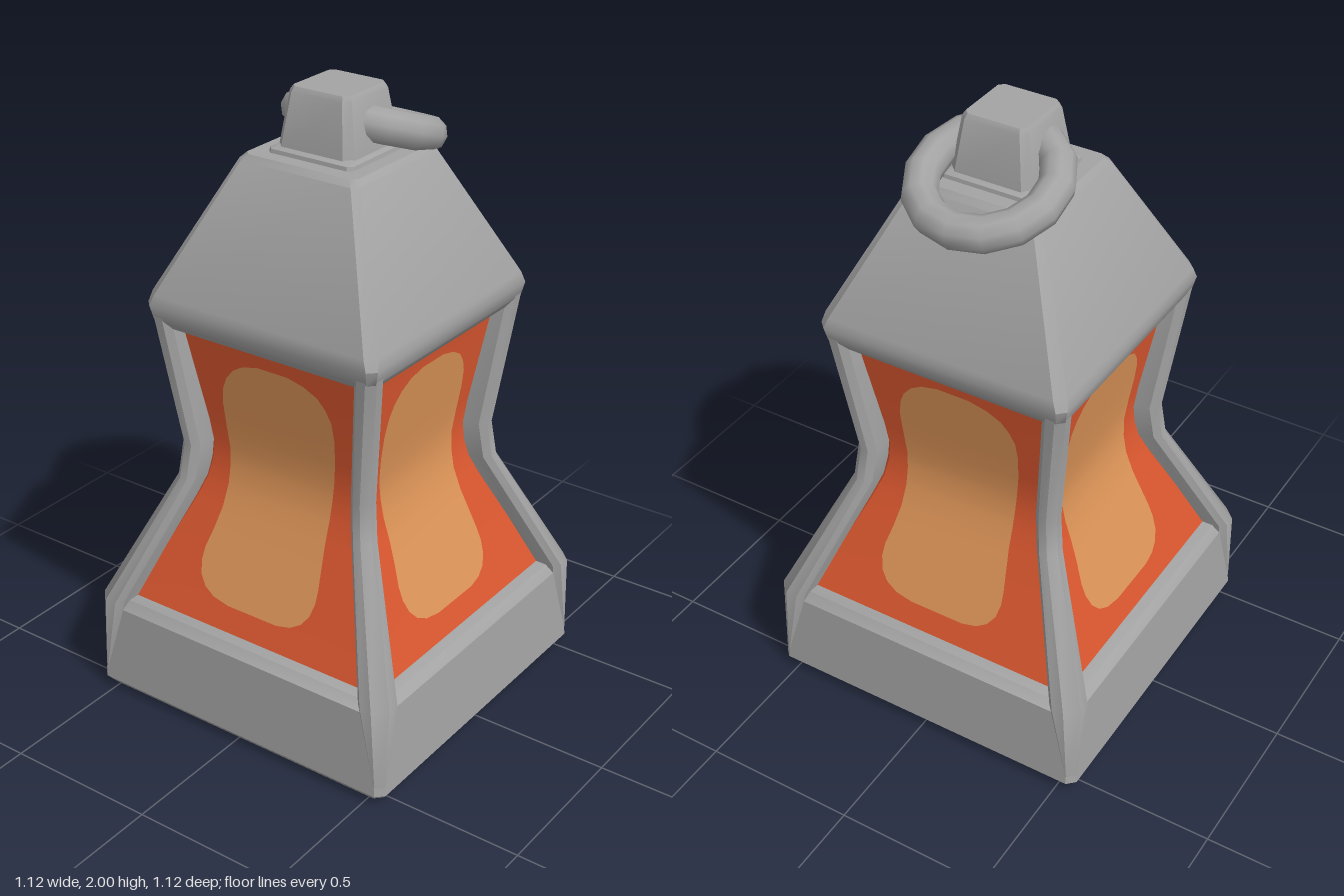
import * as THREE from 'three';
import { toCreasedNormals } from 'three/addons/utils/BufferGeometryUtils.js';

const metal = new THREE.MeshStandardMaterial({ color: 0xa3a3a3 });
metal.name = 'grey metal';
const glass = new THREE.MeshStandardMaterial({ color: 0xd9572f });
glass.name = 'orange glass';
const glow = new THREE.MeshStandardMaterial({ color: 0xdb9357 });
glow.name = 'amber glow';

// Skin a stack of closed rings [[x, z], ...] (anticlockwise from above) with caps.
function loft(rings, ys) {
  const pos = [], idx = [], n = rings[0].length;
  rings.forEach((ring, r) => ring.forEach(([x, z]) => pos.push(x, ys[r], z)));
  for (let r = 0; r < rings.length - 1; r++) {
    for (let i = 0; i < n; i++) {
      const a = r * n + i, b = r * n + (i + 1) % n;
      idx.push(a, b, b + n, a, b + n, a + n);
    }
  }
  const top = (rings.length - 1) * n;
  for (let i = 1; i < n - 1; i++) idx.push(0, i + 1, i, top, top + i, top + i + 1);
  const geo = new THREE.BufferGeometry();
  geo.setAttribute('position', new THREE.Float32BufferAttribute(pos, 3));
  geo.setIndex(idx);
  return toCreasedNormals(geo, 0.6);
}

// Square of half width a with corners cut by c.
const square = (a, c) => [
  [-a + c, a], [a - c, a], [a, a - c], [a, -a + c],
  [a - c, -a], [-a + c, -a], [-a, -a + c], [-a, a - c],
];

// Square block from rows of [y, half width, corner cut].
const block = (rows) => loft(rows.map(([, a, c]) => square(a, c)), rows.map((r) => r[0]));

// Corner post section: outer size a, corner cut c, face width w, bevelled inward.
const postSection = (a, c, w) => {
  const half = [[a, a - c], [a, a - w], [a - 0.02, a - w - 0.02], [a - 0.1, a - w - 0.03]];
  return [...half.map(([x, z]) => [z, x]).reverse(), ...half];
};

// Waisted glass profile: [y, half width].
const glassRows = [
  [0.32, 0.487], [0.68, 0.332], [0.75, 0.306], [0.81, 0.294],
  [0.87, 0.29], [0.95, 0.299], [1.28, 0.35],
];
function glassDepth(y) {
  const i = Math.max(1, glassRows.findIndex((r) => r[0] >= y));
  const [y0, z0] = glassRows[i - 1], [y1, z1] = glassRows[i];
  return z0 + (z1 - z0) * (y - y0) / (y1 - y0);
}

// Soft amber patch that follows the bend of one pane: rows of [y, left x, right x].
function glowPatch() {
  const rows = [
    [0.41, -0.1, 0.09], [0.42, -0.16, 0.14], [0.44, -0.2, 0.175], [0.47, -0.225, 0.198],
    [0.51, -0.236, 0.208], [0.55, -0.234, 0.207], [0.61, -0.218, 0.2], [0.68, -0.204, 0.192],
    [0.75, -0.2, 0.19], [0.81, -0.2, 0.192], [0.87, -0.202, 0.196], [0.95, -0.207, 0.206],
    [1.03, -0.208, 0.212], [1.09, -0.198, 0.208], [1.13, -0.18, 0.192], [1.165, -0.15, 0.165],
    [1.19, -0.11, 0.12], [1.205, -0.05, 0.06],
  ];
  const pos = [], idx = [];
  rows.forEach(([y, l, r], i) => {
    const z = glassDepth(y) + 0.005;
    pos.push(l, y, z, r, y, z);
    const k = i * 2;
    if (i) idx.push(k - 2, k - 1, k + 1, k - 2, k + 1, k);
  });
  const geo = new THREE.BufferGeometry();
  geo.setAttribute('position', new THREE.Float32BufferAttribute(pos, 3));
  geo.setIndex(idx);
  geo.computeVertexNormals();
  return geo;
}

export function createModel() {
  const model = new THREE.Group();
  model.name = 'lantern';
  const add = (name, geo, mat) => {
    const mesh = new THREE.Mesh(geo, mat);
    mesh.name = name;
    model.add(mesh);
    return mesh;
  };

  // Heavy foot with a bevelled sill
  add('base', block([
    [0, 0.535, 0.02], [0.03, 0.56, 0.025], [0.3, 0.54, 0.03],
    [0.328, 0.515, 0.03], [0.338, 0.45, 0.03],
  ]), metal);

  // Glass body
  add('glassBody', block(glassRows.map(([y, a]) => [y, a, 0.02])), glass);

  // Corner posts and glowing panes, one per side
  const posts = [
    [0.06, 0.558, 0.024, 0.026], [0.33, 0.56, 0.04, 0.08], [0.75, 0.372, 0.025, 0.052],
    [0.87, 0.358, 0.024, 0.05], [1.34, 0.416, 0.024, 0.055],
  ];
  const postGeo = loft(posts.map(([, a, c, w]) => postSection(a, c, w)), posts.map((p) => p[0]));
  const patchGeo = glowPatch();
  for (let i = 0; i < 4; i++) {
    add('cornerPost', postGeo, metal).rotation.y = i * Math.PI / 2;
    add('glowPatch', patchGeo, glow).rotation.y = i * Math.PI / 2;
  }

  // Roof with bevelled underside, collar and cap
  add('roof', block([
    [1.26, 0.33, 0.02], [1.272, 0.388, 0.02], [1.3, 0.41, 0.02], [1.345, 0.421, 0.025],
    [1.38, 0.413, 0.03], [1.785, 0.217, 0.02], [1.803, 0.2, 0.02],
  ]), metal);
  add('collar', block([[1.79, 0.155, 0.015], [1.815, 0.15, 0.015], [1.825, 0.13, 0.015]]), metal);
  add('cap', block([
    [1.81, 0.137, 0.025], [1.985, 0.11, 0.02], [2, 0.1, 0.015],
  ]), metal);

  // Carrying ring, hooked through the cap and drooping to the left
  const ring = add('carryRing', new THREE.TorusGeometry(0.2, 0.055, 10, 14), metal);
  ring.rotation.set(Math.PI / 2, THREE.MathUtils.degToRad(-20), 0, 'ZYX');
  ring.rotation.set(0, 0, 0);
  ring.geometry.rotateX(Math.PI / 2).rotateZ(THREE.MathUtils.degToRad(-20));
  ring.position.set(0.15, 1.845, -0.015);

  return model;
}
